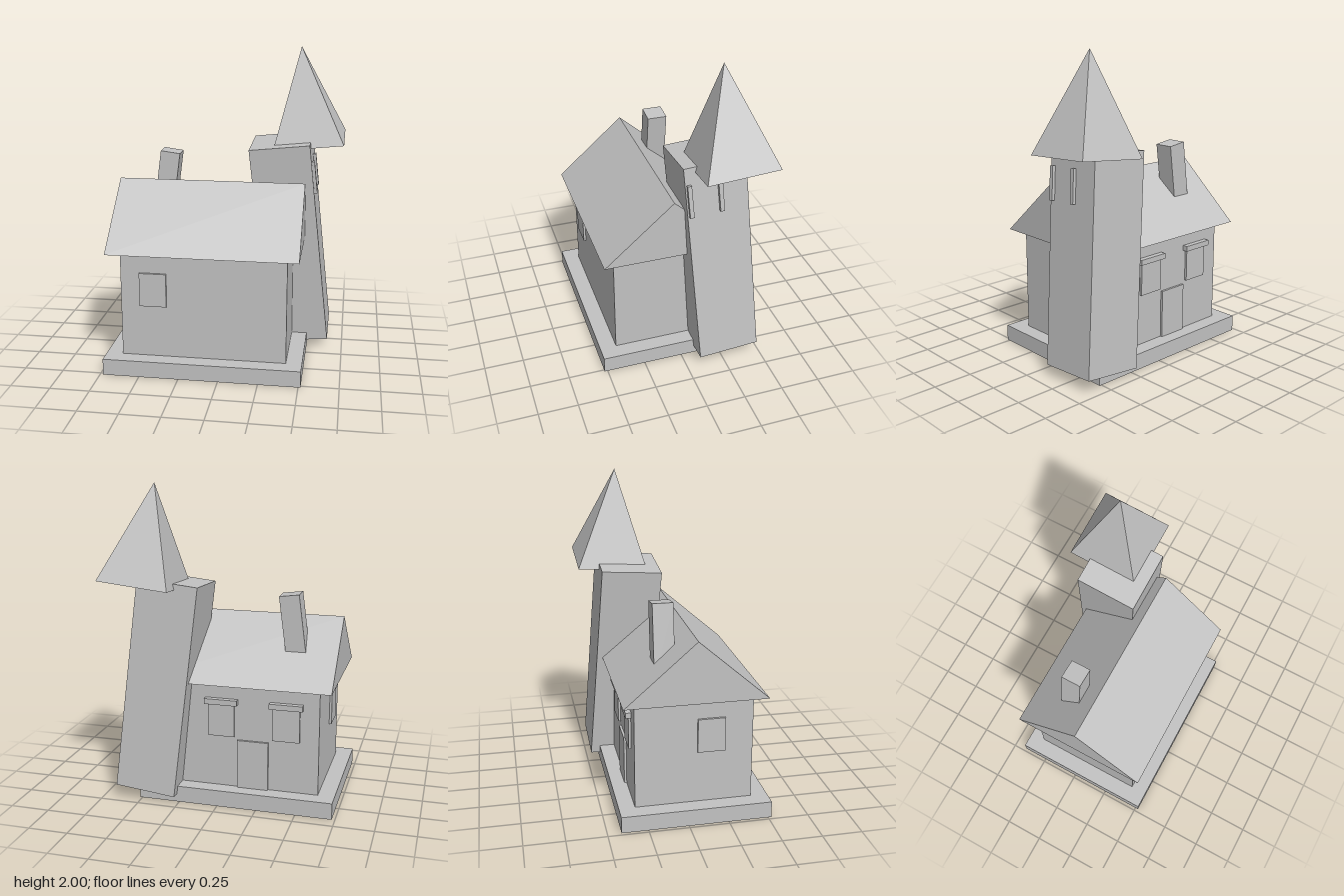
import * as THREE from 'three';

const stone = new THREE.MeshStandardMaterial({ color: 0xc2c2c2 });
stone.name = 'pale grey';

function add(parent, name, geometry) {
  const mesh = new THREE.Mesh(geometry, stone);
  mesh.name = name;
  parent.add(mesh);
  return mesh;
}

// Box given by its lower and upper limits on each axis
function block(parent, name, [x0, x1], [y0, y1], [z0, z1]) {
  const mesh = add(parent, name, new THREE.BoxGeometry(x1 - x0, y1 - y0, z1 - z0));
  mesh.position.set((x0 + x1) / 2, (y0 + y1) / 2, (z0 + z1) / 2);
  return mesh;
}

export function createModel() {
  const model = new THREE.Group();
  model.name = 'cottageWithLeaningTower';

  // Foundation slab and house walls
  block(model, 'foundation', [-0.73, 0.515], [0, 0.105], [-0.415, 0.52]);
  block(model, 'walls', [-0.625, 0.415], [0.105, 0.79], [-0.315, 0.415]);

  // Gabled roof: triangular section swept along x
  const gable = new THREE.Shape([
    new THREE.Vector2(-0.49, 0.785),
    new THREE.Vector2(0.39, 0.785),
    new THREE.Vector2(-0.05, 1.17),
  ]);
  const roofGeometry = new THREE.ExtrudeGeometry(gable, { depth: 1.195, bevelEnabled: false });
  roofGeometry.rotateY(Math.PI / 2);
  add(model, 'roof', roofGeometry).position.x = -0.705;

  // Crooked chimney
  const chimney = add(model, 'chimney', new THREE.BoxGeometry(0.127, 0.46, 0.127));
  chimney.position.set(-0.424, 1.1, -0.108);
  chimney.rotation.z = -0.13;

  // Front and side windows
  const sill = [0.44, 0.655];
  block(model, 'frontWindow', [-0.505, -0.335], sill, [0.41, 0.43]);
  block(model, 'sideWindow', [-0.64, -0.62], sill, [0.07, 0.24]);

  // Back windows with lintels, and the door between them
  for (const x of [-0.42, -0.005]) {
    block(model, 'backWindow', [x - 0.085, x + 0.085], sill, [-0.33, -0.31]);
    block(model, 'windowLintel', [x - 0.105, x + 0.105], [0.65, 0.685], [-0.35, -0.31]);
  }
  block(model, 'door', [-0.308, -0.11], [0.105, 0.42], [-0.33, -0.31]);

  // Leaning tower with slit windows on its outer face
  const lean = [0.067, 0, 0.105];
  const tower = new THREE.Group();
  tower.name = 'tower';
  tower.position.set(0.388, 0.73, -0.235);
  tower.rotation.set(...lean);
  add(tower, 'towerShaft', new THREE.BoxGeometry(0.39, 1.345, 0.39));
  for (const z of [0.172, -0.02]) {
    block(tower, 'slitWindow', [0.19, 0.215], [0.355, 0.565], [z - 0.013, z + 0.013]);
  }
  model.add(tower);

  // Pointed tower roof, shifted off the shaft
  const spire = new THREE.ConeGeometry(0.455 / Math.SQRT2, 0.618, 4).toNonIndexed();
  spire.rotateY(Math.PI / 4);
  spire.translate(0, 0.309, 0);
  spire.computeVertexNormals();
  const towerRoof = add(model, 'towerRoof', spire);
  towerRoof.position.set(0.497, 1.387, -0.293);
  towerRoof.rotation.set(...lean);

  return model;
}
